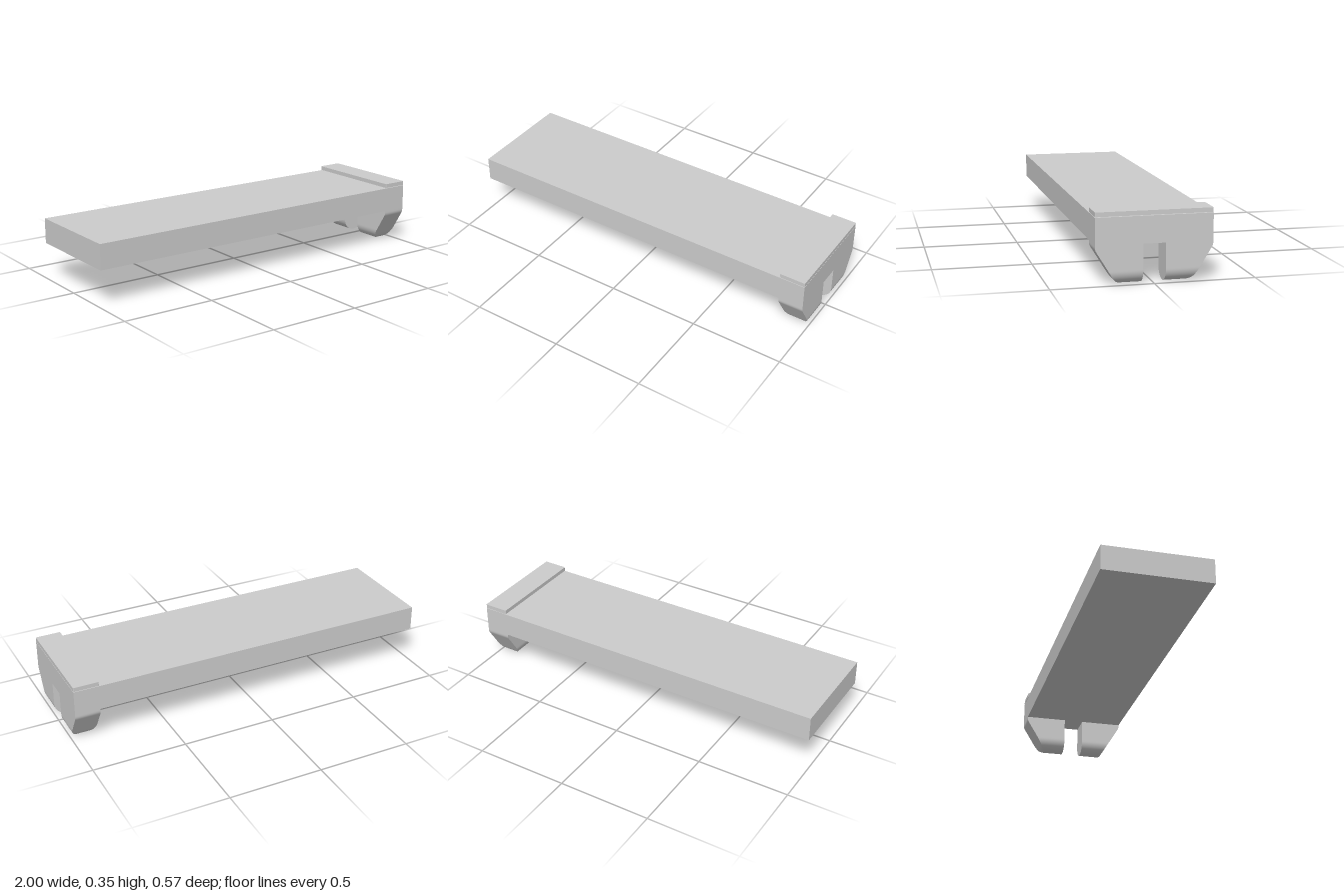
import * as THREE from 'three';

const material = new THREE.MeshStandardMaterial({ color: 0xcccccc });
const HALF_DEPTH = 0.286, BOARD_BOTTOM = 0.195, BOARD_TOP = 0.328;
const END_X = 0.865, FOOT_R = (1 - END_X) / 2, SLOT = 0.055;

// Outer edge of a foot: rounded bottom corner, slanted flank, small blend, vertical top
function flankPoints() {
  const angle = THREE.MathUtils.degToRad(57.5), r1 = 0.065, r2 = 0.04;
  const points = [];
  for (let i = 0; i <= 12; i++) {
    const a = angle * i / 12;
    points.push([0.143 + r1 * Math.sin(a), r1 * (1 - Math.cos(a))]);
  }
  for (let i = 0; i <= 6; i++) {
    const a = angle + (Math.PI / 2 - angle) * i / 6;
    points.push([HALF_DEPTH - r2 * (1 - Math.sin(a)), 0.185 - r2 * Math.cos(a)]);
  }
  points.push([HALF_DEPTH, BOARD_BOTTOM]);
  return points;
}

function outerDepth(points, y) {
  for (let i = 1; i < points.length; i++) {
    const [z0, y0] = points[i - 1], [z1, y1] = points[i];
    if (y <= y1) return z0 + (z1 - z0) * (y - y0) / (y1 - y0);
  }
  return HALF_DEPTH;
}

// Foot: stacked rows whose width follows a half round and whose depth follows the flank
function makeFoot(side) {
  const flank = flankPoints(), rows = [];
  for (let i = 0; i <= 20; i++) rows.push(FOOT_R * (1 - Math.cos(Math.PI / 2 * i / 20)));
  for (let i = 1; i <= 24; i++) rows.push(FOOT_R + (BOARD_BOTTOM - FOOT_R) * i / 24);
  const n = rows.length - 1;
  const geometry = new THREE.BoxGeometry(1, 1, 1, 1, n, 1);
  const p = geometry.attributes.position;
  for (let i = 0; i < p.count; i++) {
    const y = rows[Math.round((p.getY(i) + 0.5) * n)];
    const drop = Math.max(0, FOOT_R - y);
    const width = Math.sqrt(Math.max(0, FOOT_R * FOOT_R - drop * drop));
    const isOuter = p.getZ(i) * side > 0;
    p.setXYZ(i, 1 - FOOT_R + Math.sign(p.getX(i)) * width, y,
      side * (isOuter ? outerDepth(flank, y) : SLOT));
  }
  geometry.computeVertexNormals();
  return geometry;
}

// End strip with slightly rounded upright corners
function makeStrip() {
  const r = 0.004, x0 = END_X, x1 = 1, d = HALF_DEPTH;
  const s = new THREE.Shape();
  s.absarc(x1 - r, d - r, r, 0, Math.PI / 2);
  s.absarc(x0 + r, d - r, r, Math.PI / 2, Math.PI);
  s.absarc(x0 + r, -d + r, r, Math.PI, Math.PI * 1.5);
  s.absarc(x1 - r, -d + r, r, Math.PI * 1.5, Math.PI * 2);
  const geometry = new THREE.ExtrudeGeometry(s, { depth: 0.022, bevelEnabled: false, curveSegments: 4 });
  return geometry.rotateX(-Math.PI / 2).translate(0, 0.331, 0);
}

export function createModel() {
  const group = new THREE.Group();
  const add = (name, geometry) => {
    const mesh = new THREE.Mesh(geometry, material);
    mesh.name = name;
    group.add(mesh);
  };
  const height = BOARD_TOP - BOARD_BOTTOM;
  add('board', new THREE.BoxGeometry(2, height, 2 * HALF_DEPTH).translate(0, BOARD_BOTTOM + height / 2, 0));
  add('endStrip', makeStrip());
  add('frontFoot', makeFoot(1));
  add('backFoot', makeFoot(-1));
  return group;
}
